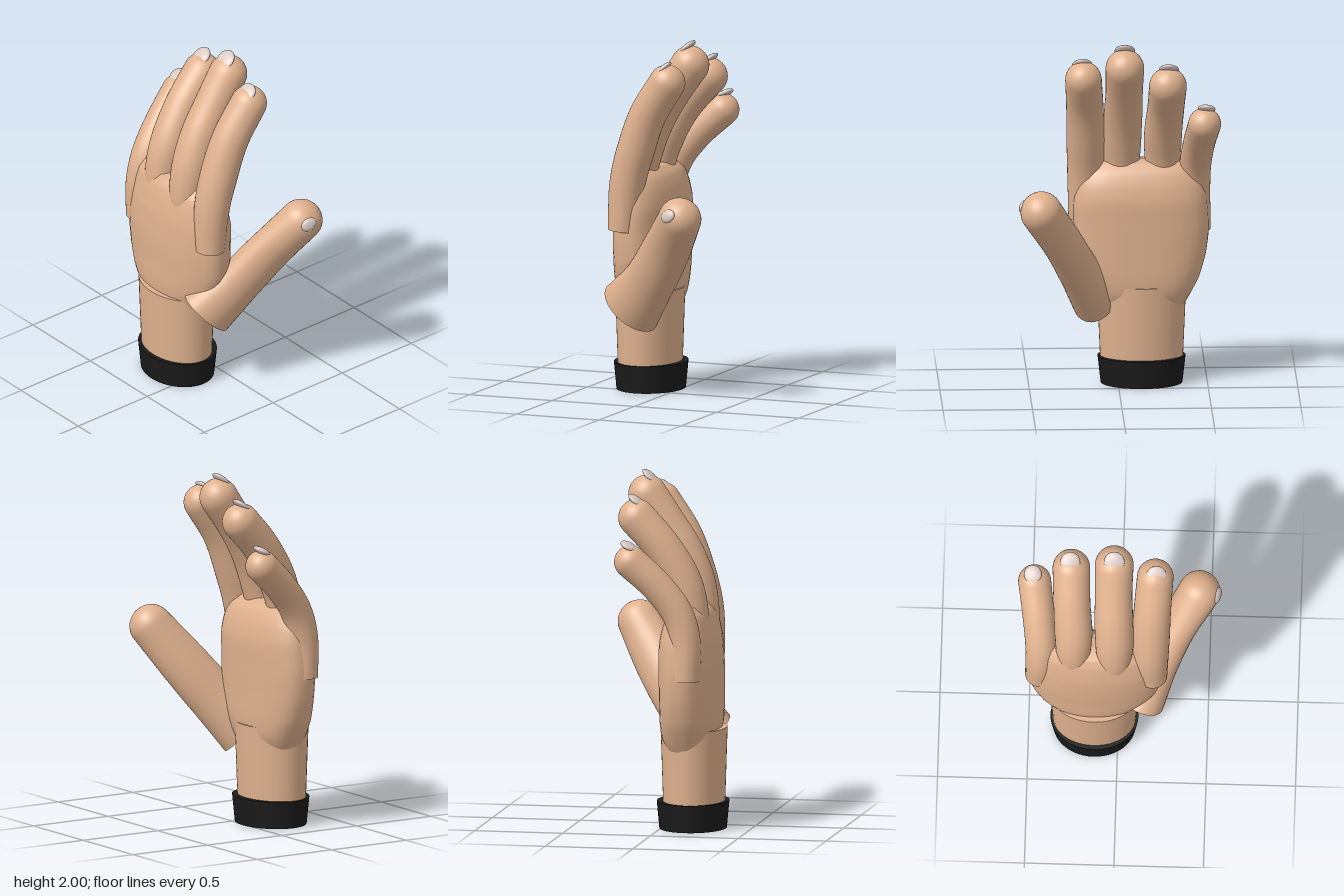
import * as THREE from 'three';

const V = (x, y, z) => new THREE.Vector3(x, y, z);
const SIDES = 36;

// Skins a list of closed rings (arrays of points) into one smooth surface.
function skin(rings) {
  const pos = [], idx = [];
  rings.forEach((ring) => ring.forEach((p) => pos.push(p.x, p.y, p.z)));
  for (let r = 0; r < rings.length - 1; r++) {
    for (let i = 0; i < SIDES; i++) {
      const a = r * SIDES + i, b = r * SIDES + (i + 1) % SIDES;
      idx.push(a, b, b + SIDES, a, b + SIDES, a + SIDES);
    }
  }
  const g = new THREE.BufferGeometry();
  g.setAttribute('position', new THREE.Float32BufferAttribute(pos, 3));
  g.setIndex(idx);
  g.computeVertexNormals();
  return g;
}

// Ring around c in the plane of u and v; a power above 2 squares the +v half.
function ring(c, u, v, ru, rv, power = 2) {
  const pts = [];
  for (let i = 0; i < SIDES; i++) {
    const t = (i / SIDES) * Math.PI * 2, cs = Math.cos(t), sn = Math.sin(t);
    const e = sn > 0 ? 2 / power : 1;
    pts.push(c.clone()
      .addScaledVector(u, ru * Math.sign(cs) * Math.abs(cs) ** e)
      .addScaledVector(v, rv * Math.sign(sn) * Math.abs(sn) ** e));
  }
  return pts;
}

// Tapered tube, open at the base, with a round tip; rows are [x, y, z, ru, rv].
function digit(rows) {
  const path = new THREE.CatmullRomCurve3(rows.map((r) => V(r[0], r[1], r[2])));
  const size = new THREE.CatmullRomCurve3(rows.map((r) => V(r[3], r[4] ?? r[3], 0)));
  const rings = [], steps = 36;
  let c, T, U, W, s;
  for (let i = 0; i <= steps; i++) {
    const t = i / steps;
    c = path.getPoint(t);
    T = path.getTangent(t);
    U = V(1, 0, 0).addScaledVector(T, -T.x).normalize();
    W = T.clone().cross(U);
    s = size.getPoint(t);
    rings.push(ring(c, U, W, s.x, s.y));
  }
  for (let k = 1; k <= 10; k++) {
    const a = (k / 10) * Math.PI / 2, q = Math.cos(a);
    const tip = c.clone().addScaledVector(T, s.x * Math.sin(a));
    rings.push(ring(tip, U, W, s.x * q, s.y * q));
  }
  return skin(rings);
}

export function createModel() {
  const group = new THREE.Group();
  const mat = (name, color) => new THREE.MeshStandardMaterial({ name, color });
  const skinMat = mat('skin', 0xdfb18e);
  skinMat.side = THREE.DoubleSide;
  const nailMat = mat('nail', 0xd8c8c2);
  const cuffMat = mat('cuff black', 0x1a1a1a);
  const add = (name, geo, m) => {
    const mesh = new THREE.Mesh(geo, m);
    mesh.name = name;
    group.add(mesh);
    return mesh;
  };

  // Cuff and wrist: tapered oval cylinders
  const cuff = add('cuff', new THREE.CylinderGeometry(1, 0.93, 0.155, 48), cuffMat);
  cuff.scale.set(0.246, 1, 0.201);
  cuff.position.set(-0.133, 0.0775, 0.17);
  const wrist = add('wrist', new THREE.CylinderGeometry(1, 0.92, 0.47, 48), skinMat);
  wrist.scale.set(0.25, 1, 0.184);
  wrist.position.set(-0.133, 0.335, 0.176);

  // Palm: oval sections [y, xMin, xMax, zMin, zMax]
  const sections = [
    [0.42, -0.33, 0.05, 0.08, 0.24], [0.45, -0.37, 0.10, 0.04, 0.29],
    [0.52, -0.41, 0.14, 0.01, 0.32], [0.62, -0.46, 0.20, 0.00, 0.335],
    [0.75, -0.495, 0.24, 0.00, 0.335], [0.90, -0.51, 0.25, 0.00, 0.335],
    [1.05, -0.50, 0.25, 0.00, 0.325], [1.15, -0.48, 0.23, 0.02, 0.305],
    [1.22, -0.45, 0.19, 0.05, 0.285], [1.27, -0.39, 0.12, 0.10, 0.25],
  ];
  const mid = new THREE.CatmullRomCurve3(
    sections.map(([y, a, b, c, d]) => V((a + b) / 2, y, (c + d) / 2)));
  const half = new THREE.CatmullRomCurve3(
    sections.map(([, a, b, c, d]) => V((b - a) / 2, (d - c) / 2, 0)));
  const X = V(1, 0, 0), Z = V(0, 0, -1), rings = [];
  for (let i = 0; i <= 40; i++) {
    const s = half.getPoint(i / 40);
    rings.push(ring(mid.getPoint(i / 40), X, Z, s.x, s.y, 2.6));
  }
  rings.unshift(ring(V(-0.14, 0.41, 0.16), X, Z, 0, 0));
  rings.push(ring(V(-0.14, 1.28, 0.175), X, Z, 0, 0));
  add('palm', skin(rings), skinMat);

  // Fingers and thumb
  const digits = {
    indexFinger: [
      [0.194, 0.935, 0.205, 0.081], [0.182, 1.2, 0.18, 0.1], [0.182, 1.4, 0.127, 0.106],
      [0.188, 1.6, 0.052, 0.104], [0.2, 1.79, -0.07, 0.102]],
    middleFinger: [
      [-0.02, 1.0, 0.2, 0.085], [-0.02, 1.22, 0.195, 0.1], [-0.022, 1.4, 0.155, 0.109],
      [-0.027, 1.55, 0.092, 0.108], [-0.03, 1.7, 0.0, 0.104], [-0.03, 1.86, -0.11, 0.108]],
    ringFinger: [
      [-0.245, 1.0, 0.19, 0.085], [-0.25, 1.25, 0.18, 0.098], [-0.251, 1.42, 0.127, 0.106],
      [-0.263, 1.6, 0.02, 0.103], [-0.27, 1.76, -0.122, 0.105]],
    littleFinger: [
      [-0.437, 0.87, 0.185, 0.083], [-0.432, 1.1, 0.185, 0.085], [-0.433, 1.25, 0.14, 0.088],
      [-0.45, 1.4, 0.03, 0.089], [-0.475, 1.54, -0.118, 0.092]],
    thumb: [
      [0.128, 0.492, 0.18, 0.135, 0.18], [0.222, 0.67, 0.025, 0.113, 0.148],
      [0.317, 0.86, -0.112, 0.108, 0.14], [0.441, 1.07, -0.252, 0.117, 0.122]],
  };
  for (const [name, rows] of Object.entries(digits)) add(name, digit(rows), skinMat);

  // Nails: thin flattened domes [centre, facing, half width, half length]
  const nails = {
    indexNail: [V(0.207, 1.87, -0.05), V(0.05, 0.74, 0.67), 0.057, 0.056],
    middleNail: [V(-0.03, 1.957, -0.092), V(0, 0.74, 0.67), 0.058, 0.06],
    ringNail: [V(-0.276, 1.854, -0.12), V(-0.03, 0.8, 0.6), 0.056, 0.06],
    littleNail: [V(-0.486, 1.63, -0.125), V(-0.1, 0.88, 0.45), 0.05, 0.052],
    thumbNail: [V(0.543, 1.098, -0.222), V(0.9, 0.25, 0.3), 0.037, 0.047],
  };
  for (const [name, [c, n, w, l]] of Object.entries(nails)) {
    const nail = add(name, new THREE.SphereGeometry(1, 24, 16), nailMat);
    nail.position.copy(c);
    nail.quaternion.setFromUnitVectors(V(0, 1, 0), n.normalize());
    nail.scale.set(w, 0.019, l);
  }
  return group;
}
